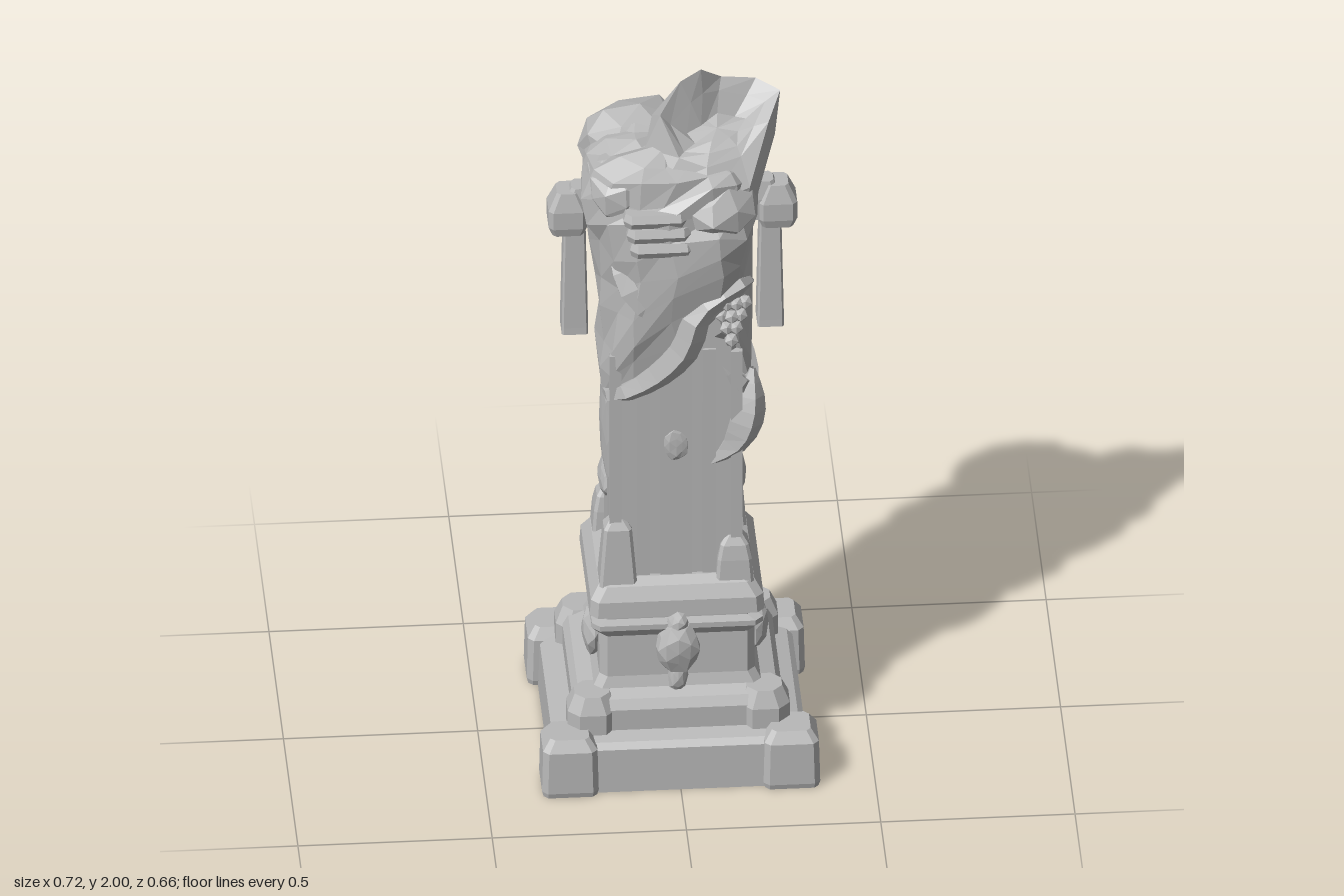
import * as THREE from 'three';

const stone = new THREE.MeshStandardMaterial({ color: 0xb8b8b8, flatShading: true, side: THREE.DoubleSide });
stone.name = 'grey stone';

// repeatable jitter in -1..1
const noise = (a, b = 0) => {
  const s = Math.sin(a * 127.1 + b * 311.7) * 43758.5453;
  return (s - Math.floor(s)) * 2 - 1;
};
const mix = (a, b, t) => a + (b - a) * t;

// skin a stack of equal-length loops, closed at both ends
function loft(loops) {
  const pos = [], n = loops[0].length;
  const tri = (...p) => p.forEach((v) => pos.push(...v));
  const mid = (l) => [0, 1, 2].map((k) => l.reduce((s, p) => s + p[k], 0) / n);
  const last = loops[loops.length - 1], c0 = mid(loops[0]), c1 = mid(last);
  for (let i = 0; i < n; i++) {
    const j = (i + 1) % n;
    for (let r = 0; r + 1 < loops.length; r++) {
      const a = loops[r], b = loops[r + 1];
      tri(a[i], b[i], a[j]);
      tri(a[j], b[i], b[j]);
    }
    tri(c0, loops[0][i], loops[0][j]);
    tri(c1, last[j], last[i]);
  }
  const g = new THREE.BufferGeometry();
  g.setAttribute('position', new THREE.Float32BufferAttribute(pos, 3));
  g.computeVertexNormals();
  return g;
}

// rectangular "lathe": rows of [halfX, halfZ, y, chamfer]
const squareLathe = (rows) => loft(rows.map(([x, z, y, c]) => [
  [x, y, z - c], [x - c, y, z], [c - x, y, z], [-x, y, z - c],
  [-x, y, c - z], [c - x, y, -z], [x - c, y, -z], [x, y, c - z],
]));

// chipped lump of stone or cloth
function lump(rx, ry, rz, seed, rough = 0.12) {
  const g = new THREE.IcosahedronGeometry(1, 1), p = g.attributes.position;
  for (let i = 0; i < p.count; i++) {
    const x = p.getX(i), y = p.getY(i), z = p.getZ(i);
    const k = 1 + rough * noise(Math.round(x * 50) + seed, Math.round(y * 50) * 3 + Math.round(z * 50) * 7);
    p.setXYZ(i, x * rx * k, y * ry * k, z * rz * k);
  }
  g.computeVertexNormals();
  return g;
}

// tapering cloth fold along a path
function fold(points, radius) {
  const curve = new THREE.CatmullRomCurve3(points.map((p) => new THREE.Vector3(...p)));
  const segs = points.length * 2, g = new THREE.TubeGeometry(curve, segs, radius, 5);
  const p = g.attributes.position, v = new THREE.Vector3();
  for (let i = 0; i < p.count; i++) {
    const u = Math.floor(i / 6) / segs, c = curve.getPointAt(u);
    v.fromBufferAttribute(p, i).sub(c).multiplyScalar(0.15 + 0.85 * Math.sin(Math.PI * u)).add(c);
    p.setXYZ(i, v.x, v.y, v.z);
  }
  g.computeVertexNormals();
  return g;
}

function drapedTorso() {
  // hem heights and width factors, starting at +x and turning through +z
  const hem = [1.12, 1.1, 1.24, 1.3, 1.21, 1.15, 1.1, 1.08, 1.14, 1.19, 1.12, 1.02, 1.0, 1.06, 1.14, 1.18];
  const width = [1, 1, 1.02, 1, 1, 1, 0.98, 1, 1, 1, 1, 1.02, 1, 0.95, 0.88, 0.95];
  // y, centre x, centre z, radius x, radius z
  const body = [
    [0.95, 0, -0.01, 0.185, 0.175], [1.1, 0, -0.02, 0.195, 0.175], [1.3, 0, -0.01, 0.198, 0.19],
    [1.42, 0, -0.015, 0.2, 0.21], [1.58, 0, 0.01, 0.212, 0.21], [1.7, -0.01, -0.01, 0.23, 0.21],
    [1.76, -0.01, -0.01, 0.21, 0.195], [1.8, -0.02, -0.01, 0.15, 0.14], [1.82, -0.02, -0.01, 0.08, 0.08],
  ];
  const at = (y) => {
    let i = 0;
    while (i < body.length - 2 && y > body[i + 1][0]) i++;
    const t = (y - body[i][0]) / (body[i + 1][0] - body[i][0]);
    return body[i].map((v, k) => mix(v, body[i + 1][k], t));
  };
  const loops = [0, 0.1, 0.22, 0.35, 0.48, 0.62, 0.74, 0.84, 0.91, 0.97, 1].map((t) => hem.map((h, i) => {
    const a = ((i + 0.25 * noise(i, t * 31) * t) / hem.length) * Math.PI * 2, y = mix(h, 1.82, t);
    const [, cx, cz, rx, rz] = at(y), e = 2 / mix(3.4, 2.2, t);
    const k = mix(1, width[i], Math.min(1, t * 2)) * (1 + 0.03 * Math.sin(3 * a + y * 11) + 0.05 * noise(i + 1, t * 20));
    const c = Math.cos(a), s = Math.sin(a);
    return [cx + rx * k * Math.sign(c) * Math.abs(c) ** e, y + 0.022 * noise(i, t * 9),
      cz + rz * k * Math.sign(s) * Math.abs(s) ** e];
  }));
  return loft(loops);
}

// broken neck: a cloth ridge curling over a shallow hollow that opens forward
function hollowStump() {
  const foot = [
    [0.21, 1.62, 0.01], [0.21, 1.62, 0.05], [0.18, 1.6, 0.14], [0.08, 1.6, 0.17], [-0.03, 1.62, 0.12],
    [-0.08, 1.68, 0.05], [-0.06, 1.72, -0.03], [0.05, 1.7, -0.09], [0.13, 1.68, -0.1], [0.2, 1.65, -0.04],
  ];
  const shoulder = [
    [0.265, 1.8, 0], [0.245, 1.77, 0.05], [0.19, 1.73, 0.14], [0.08, 1.71, 0.18], [-0.03, 1.74, 0.13],
    [-0.075, 1.81, 0.06], [-0.05, 1.86, -0.02], [0.06, 1.88, -0.09], [0.13, 1.87, -0.115], [0.23, 1.86, -0.08],
  ];
  const rim = [
    [0.28, 1.92, -0.02], [0.245, 1.87, 0.05], [0.17, 1.8, 0.1], [0.08, 1.79, 0.13], [0.01, 1.81, 0.11],
    [-0.035, 1.91, 0.06], [0.02, 1.985, 0.02], [0.075, 2, -0.01], [0.13, 1.95, -0.05], [0.22, 1.935, -0.06],
  ];
  const inset = (f, y, fy) => rim.map(([px, py, pz], i) => [
    mix(px, 0.11, f) + 0.012 * noise(i, 3), mix(py, y, fy) + 0.012 * noise(i, 5), mix(pz, 0.03, f)]);
  return loft([foot, shoulder, rim, inset(0.25, 1.85, 0.4), inset(0.55, 1.84, 0.85)]);
}

export function createModel() {
  const model = new THREE.Group();
  const add = (name, geometry, x = 0, y = 0, z = 0) => {
    const m = new THREE.Mesh(geometry, stone);
    m.name = name;
    m.position.set(x, y, z);
    model.add(m);
    return m;
  };
  const box = (name, w, h, d, x, y, z) => add(name, new THREE.BoxGeometry(w, h, d), x, y, z);

  // stepped pedestal, hollow underneath
  add('pedestal', squareLathe([
    [0.17, 0.15, 0.14, 0.02], [0.23, 0.21, 0.11, 0.03], [0.285, 0.265, 0, 0.03], [0.33, 0.31, 0, 0.02],
    [0.325, 0.305, 0.125, 0.02], [0.31, 0.29, 0.14, 0.02], [0.27, 0.25, 0.15, 0.03],
    [0.27, 0.25, 0.21, 0.03], [0.255, 0.235, 0.235, 0.03], [0.215, 0.205, 0.25, 0.02],
    [0.2, 0.195, 0.28, 0.02], [0.2, 0.19, 0.4, 0.02], [0.22, 0.205, 0.425, 0.02],
    [0.22, 0.205, 0.44, 0.02], [0.2, 0.18, 0.445, 0.02], [0.2, 0.18, 0.455, 0.02],
    [0.225, 0.198, 0.46, 0.02], [0.222, 0.195, 0.505, 0.02], [0.2, 0.175, 0.54, 0.02], [0.17, 0.15, 0.555, 0.02],
  ]));

  // square shaft
  add('shaft', squareLathe([[0.166, 0.141, 0.53, 0.02], [0.163, 0.138, 1.3, 0.02]]));

  for (const sx of [-1, 1]) {
    for (const sz of [-1, 1]) {
      add('plinthCornerBlock', squareLathe([
        [0.069, 0.063, 0, 0.012], [0.073, 0.067, 0.015, 0.015], [0.07, 0.064, 0.135, 0.015], [0.05, 0.045, 0.165, 0.012],
      ]), sx * 0.285, 0, sz * 0.265);
      add('stepCornerBlock', squareLathe([
        [0.064, 0.06, 0.12, 0.03], [0.064, 0.06, 0.205, 0.03], [0.045, 0.042, 0.25, 0.025],
      ]), sx * 0.222, 0, sz * 0.205);
      // worn brackets at the foot of the shaft
      const h = sx * sz < 0 ? 0.17 : 0.11;
      add('shaftCornerBracket', squareLathe([
        [0.05, 0.046, 0.52, 0.008], [0.044, 0.04, 0.6, 0.008], [0.036, 0.032, 0.53 + h, 0.008], [0.02, 0.018, 0.555 + h, 0.008],
      ]), sx * 0.15, 0, sz * 0.125);
      box('cornerFillet', 0.03, 0.7, 0.028, sx * 0.156, 0.88, sz * 0.132);
    }
    // side panels and ornaments
    box('sidePanel', 0.02, 0.62, 0.12, sx * 0.16, 0.86, 0);
    add('sideChippedStep', lump(0.025, 0.06, 0.06, 81 + sx), sx * 0.165, 0.77, -0.01);
    add('sideOrnament', lump(0.034, 0.075, 0.045, 12 + sx), sx * 0.207, 0.355, 0.08);

    // arm stubs with hanging slabs
    add('armStub', squareLathe([
      [0.04, 0.038, 1.535, 0.01], [0.05, 0.045, 1.56, 0.012], [0.05, 0.045, 1.61, 0.012], [0.028, 0.032, 1.66, 0.01],
    ]), sx * 0.27, 0, 0);
    add('armRoot', squareLathe([[0.06, 0.035, 1.56, 0.01], [0.06, 0.035, 1.62, 0.01], [0.04, 0.025, 1.67, 0.01]]), sx * 0.22, 0, 0);
    add('hangingSlab', squareLathe([
      [0.034, 0.038, 1.23, 0.005], [0.034, 0.037, 1.25, 0.005], [0.028, 0.028, 1.56, 0.005],
    ]), sx * 0.252, 0, -0.002);
  }

  // front and back raised strips
  for (const sz of [-1, 1]) {
    box('centralStrip', 0.08, 0.7, 0.016, 0, 0.89, sz * 0.14);
    for (const sx of [-1, 1]) box('fluteStrip', 0.035, 0.7, 0.012, sx * 0.085, 0.89, sz * 0.14);
  }
  add('frontOrnament', lump(0.06, 0.075, 0.045, 3), 0, 0.37, 0.2);
  add('frontOrnamentDrop', lump(0.025, 0.055, 0.025, 5), 0, 0.28, 0.2);
  add('frontOrnamentCap', lump(0.03, 0.035, 0.025, 6), 0, 0.435, 0.2);

  // draped torso and shoulders
  add('drapedTorso', drapedTorso());
  add('rearShoulder', lump(0.16, 0.11, 0.125, 21), -0.075, 1.72, -0.105);
  add('frontRightShoulder', lump(0.1, 0.09, 0.11, 33), -0.13, 1.7, 0.06);
  add('chestFolds', lump(0.13, 0.1, 0.1, 41), 0.09, 1.66, 0.11);
  add('hollowNeckStump', hollowStump());

  // banded locks on the chest
  for (let i = 0; i < 3; i++) {
    add('chestLock', squareLathe([
      [0.08, 0.025, -0.02, 0.015], [0.084, 0.035, 0, 0.02], [0.078, 0.025, 0.02, 0.015],
    ]), -0.055 + i * 0.008, 1.675 - i * 0.042, 0.175 + i * 0.005);
  }

  // sash and folds
  add('frontSash', fold([[0.2, 1.4, 0.07], [0.17, 1.44, 0.15], [0.06, 1.385, 0.18], [0.02, 1.27, 0.175],
    [-0.06, 1.17, 0.155], [-0.16, 1.1, 0.125], [-0.18, 1.08, 0.02]], 0.042));
  add('sideSash', fold([[0.11, 1.2, 0.13], [0.175, 1.09, 0.1], [0.175, 1.13, -0.02], [0.16, 1.2, -0.13]], 0.042));
  add('backSash', fold([[0.17, 1.19, -0.1], [0.09, 1.1, -0.15], [0, 1.02, -0.16], [-0.1, 1.08, -0.15], [-0.17, 1.18, -0.1]], 0.045));
  add('chestFold', fold([[-0.17, 1.58, 0.09], [-0.1, 1.42, 0.16], [0, 1.33, 0.17]], 0.042));
  add('backFold', fold([[0.14, 1.6, -0.12], [0.03, 1.45, -0.18], [-0.12, 1.33, -0.15]], 0.05));

  // hanging cloth tails
  add('frontClothTail', fold([[0.2, 1.15, 0.1], [0.185, 1.03, 0.115], [0.15, 0.94, 0.125], [0.09, 0.89, 0.14]], 0.05));
  add('backClothTail', lump(0.1, 0.25, 0.05, 57), 0, 0.98, -0.14);
  add('rightClothTail', lump(0.03, 0.22, 0.07, 63), -0.16, 0.97, 0.02);
  add('frontChip', lump(0.035, 0.05, 0.012, 71), 0, 0.95, 0.145);

  // grape cluster
  for (let row = 0; row < 4; row++)
    for (let i = 0; i < 4 - row; i++)
      add('grape', new THREE.IcosahedronGeometry(0.02, 0),
        0.14 + (i - (3 - row) / 2) * 0.024, 1.395 - row * 0.036, 0.175 - 0.008 * Math.abs(i - (3 - row) / 2));

  return model;
}
